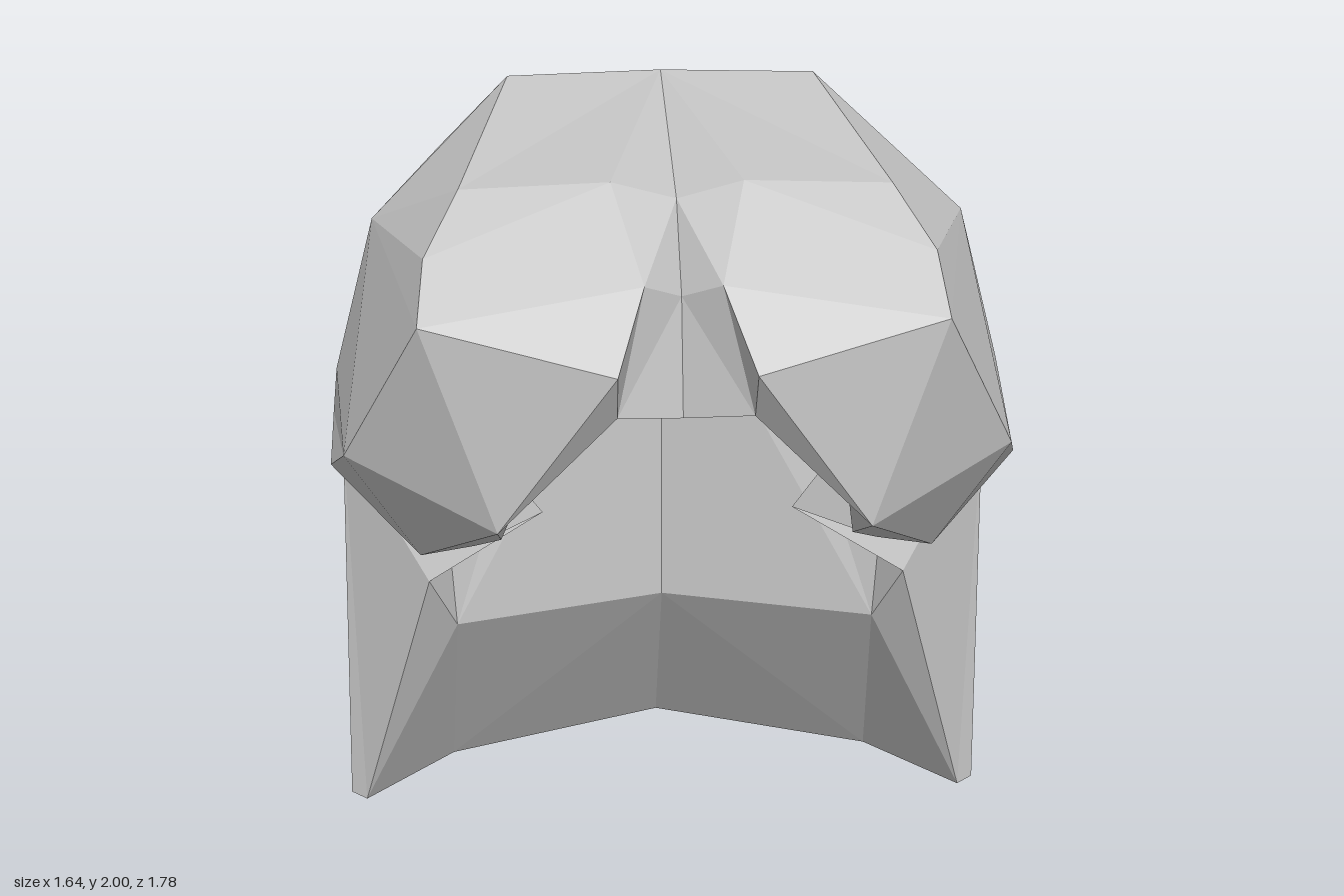
import * as THREE from 'three';

// Corner points of the left half (+x); the right half is mirrored.
const P = {
  // crown and parting
  c0: [0, 1.98, -.36], c1: [0, 1.95, .4], c2: [0, 1.82, .62], c3: [0, 1.58, .7],
  t0: [.36, 1.97, -.36], t1: [.46, 1.97, .38], t2: [.14, 2, .43],
  m1: [.08, 1.88, .71], m2: [.53, 1.9, .59],
  // fringe
  f1: [.14, 1.76, .89], f2: [.54, 1.82, .76], f3: [.14, 1.64, .82],
  e1: [.39, 1.37, .8], e2: [.72, 1.43, .54], e3: [.57, 1.14, .46], e4: [.77, 1.29, .3],
  // side, quarter and back columns, top to bottom
  s0: [.67, 1.76, 0], s1: [.77, 1.39, 0], s2: [.79, 1.24, -.08], s3: [.78, 1.12, -.17], s4: [.82, .05, -.25],
  q0: [.53, 1.76, -.47], q1: [.53, 1.47, -.56], q2: [.53, 1.1, -.56], q3: [.53, .05, -.68],
  b0: [0, 1.8, -.68], b1: [0, 1.47, -.78], b2: [0, 1.1, -.78], b3: [0, .05, -.89],
  // inner rim of the face opening and front edge of the side lock
  i2: [.17, 1.6, .7], i3: [.35, 1.39, .7], i4: [.39, 1.18, .47], i5: [.45, 1.15, .44],
  g: [.3, 1, 0], k: [.58, .8, -.03],
  // inner bottom edge
  l: [.78, .04, -.23], m: [.56, .005, -.5], n: [0, 0, -.71],
  // lining
  w0: [0, 1.56, -.32], w2: [0, .59, -.32], v0: [.22, 1.56, -.28],
  u: [.53, 1.25, -.13], v1: [.53, .82, -.13], v2: [.52, .62, -.13],
};

// Each part is a list of strips: an upper row and a lower row of points.
// A repeated point collapses a quad into a triangle.
const PARTS = {
  crown: [
    ['c0 c0 t0', 'c1 t2 t1'],
    ['c1 t2 t1 s0', 'c2 m1 m2 s0'],
    ['t1 t0 t0 c0', 's0 s0 q0 b0'],
  ],
  parting: [
    ['c2 m1 m1', 'c3 f3 f1'],
  ],
  fringe: [
    ['m1 m2 s0', 'f1 f2 s0'],
    ['f1 f1 f2 f2 s0 s0', 'f3 e1 e1 e2 e2 s1'],
    ['e1 e2 e2 s1', 'e3 e3 e4 s2'],
    ['e4 s2', 'e3 s3'],
  ],
  fringeRim: [
    ['c3 f3 e1 e1 e3 e3', 'c3 i2 i3 i4 i5 g'],
    ['e3 s3', 'g g'],
  ],
  backHair: [
    ['s0 q0 b0', 's1 q1 b1'],
    ['s1 q1 q1 q1 b1', 's2 s2 s3 q2 b2'],
    ['s3 q2 b2', 's4 q3 b3'],
  ],
  sideLock: [
    ['g s3 s3 s3', 'k k l s4'],
  ],
  bottomEdge: [
    ['s4 q3 b3', 'l m n'],
  ],
  lining: [
    ['c3 i2', 'w0 v0'],
    ['w0 v0 u', 'w2 v2 v1'],
    ['v0 i2', 'u i3'],
    ['i3 i4 i5 g v1', 'u u u u u'],
    ['v1 g', 'k k'],
    ['v1 k', 'v2 v2'],
    ['w2 v2 k', 'n m l'],
  ],
};

// Turns strips into flat faces on both sides of the centre plane.
function buildStrips(strips) {
  const out = [];
  const tri = (a, b, c) => {
    if (a === b || b === c || a === c) return;
    for (const name of [a, b, c]) out.push(...P[name]);
    for (const name of [a, c, b]) {
      const [x, y, z] = P[name];
      out.push(-x, y, z);
    }
  };
  for (const [upper, lower] of strips) {
    const A = upper.split(' '), B = lower.split(' ');
    for (let i = 0; i < A.length - 1; i++) {
      tri(A[i], B[i], B[i + 1]);
      tri(A[i], B[i + 1], A[i + 1]);
    }
  }
  const geometry = new THREE.BufferGeometry();
  geometry.setAttribute('position', new THREE.Float32BufferAttribute(out, 3));
  geometry.computeVertexNormals();
  return geometry;
}

export function createModel() {
  const group = new THREE.Group();
  group.name = 'longHair';
  const material = new THREE.MeshStandardMaterial({
    color: 0xcccccc, flatShading: true, side: THREE.DoubleSide,
  });
  for (const [name, strips] of Object.entries(PARTS)) {
    const mesh = new THREE.Mesh(buildStrips(strips), material);
    mesh.name = name;
    group.add(mesh);
  }
  return group;
}
